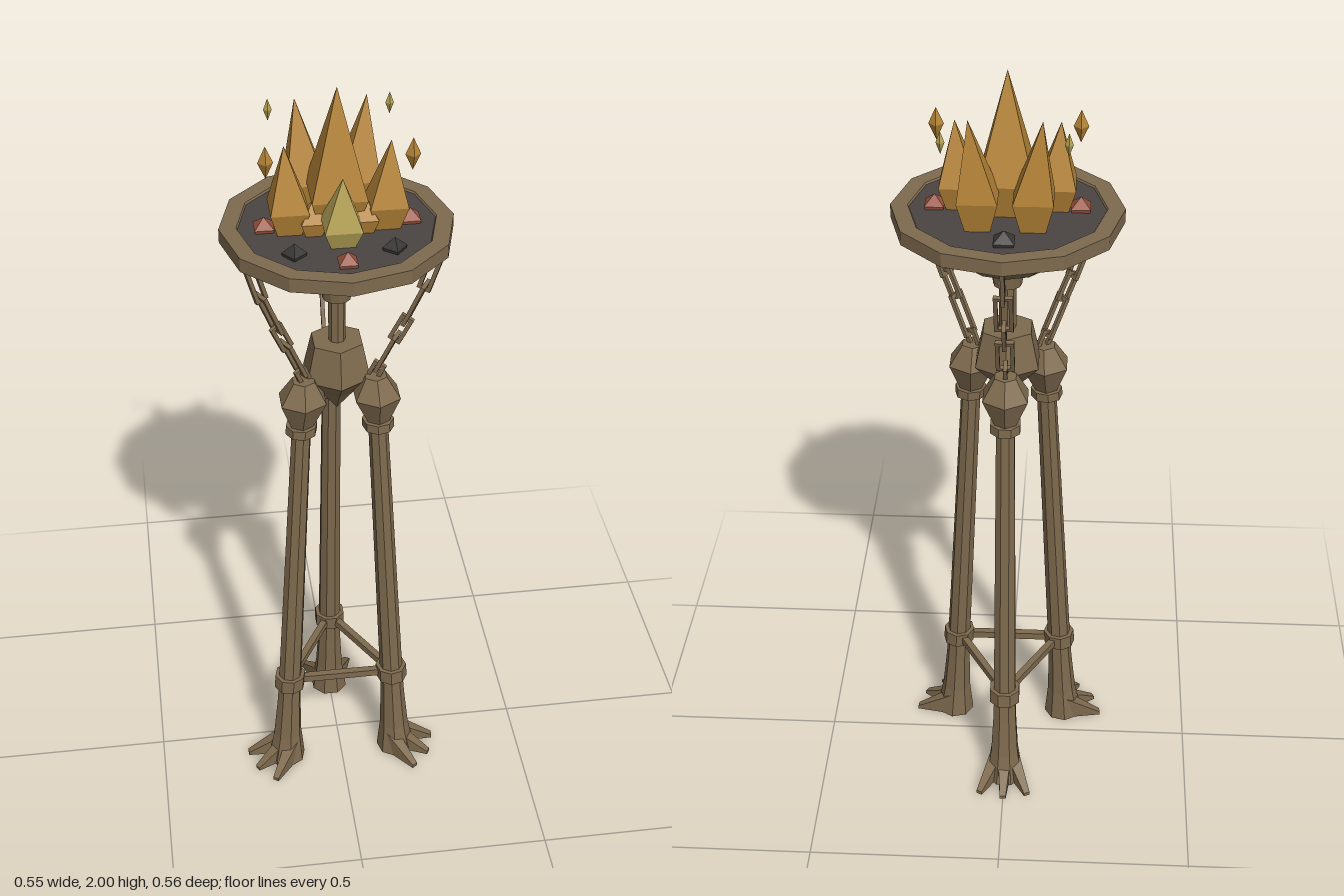
import * as THREE from 'three';

const flat = (name, color) => new THREE.MeshStandardMaterial({ name, color, flatShading: true });

export function createModel() {
  const bronze = flat('bronze', 0x7e6a4e);
  const ashBed = flat('ash bed', 0x4a4543);
  const coal = flat('coal', 0x3a3836);
  const ember = flat('ember', 0x97503a);
  const flame = flat('flame', 0xb58437);
  const paleFlame = flat('pale flame', 0xb6a356);

  const model = new THREE.Group();
  model.name = 'brazier';

  const add = (parent, name, geometry, material, x = 0, y = 0, z = 0) => {
    const mesh = new THREE.Mesh(geometry, material);
    mesh.name = name;
    mesh.position.set(x, y, z);
    parent.add(mesh);
    return mesh;
  };
  // Profile points are [radius, height], listed from bottom to top
  const lathe = (points, sides, start = 0) =>
    new THREE.LatheGeometry(points.map(p => new THREE.Vector2(...p)), sides, start);
  const bend = (geometry, rule) => {
    const p = geometry.attributes.position;
    const v = new THREE.Vector3();
    for (let i = 0; i < p.count; i++) {
      rule(v.fromBufferAttribute(p, i));
      p.setXYZ(i, v.x, v.y, v.z);
    }
    geometry.computeVertexNormals();
    return geometry;
  };

  // Bowl with a raised rim, and the stem and hub below it
  add(model, 'bowl', lathe([
    [0, 1.455], [0.035, 1.455], [0.04, 1.49], [0.11, 1.525], [0.235, 1.625], [0.277, 1.625],
    [0.277, 1.66], [0.236, 1.66], [0.225, 1.64]], 12), bronze);
  add(model, 'ashBed', new THREE.CylinderGeometry(0.235, 0.225, 0.02, 12), ashBed, 0, 1.645, 0);
  add(model, 'stem', new THREE.CylinderGeometry(0.021, 0.021, 0.15, 8), bronze, 0, 1.395, 0);
  add(model, 'hub', lathe([[0, 1.13], [0.045, 1.19], [0.09, 1.24], [0.068, 1.335], [0, 1.335]], 6), bronze);

  // One leg with collars, capital and flared ankle, leaning inwards
  const axis = y => 0.18 - 0.0616 * y;
  const lean = v => { v.z += axis(v.y); };
  const legGeometry = bend(lathe([
    [0, 0], [0.052, 0], [0.039, 0.09], [0.033, 0.2], [0.031, 0.265], [0.031, 0.3],
    [0.025, 1.1], [0.025, 1.14]], 8, Math.PI / 8), lean);
  const collar = (y, r, h) => bend(lathe([[0.02, y - h / 2], [r, y - h / 2], [r, y + h / 2], [0.02, y + h / 2]],
    8, Math.PI / 8), lean);
  const capital = bend(lathe([[0.028, 1.12], [0.064, 1.2], [0.03, 1.255], [0, 1.255]], 6), lean);
  const toe = bend(new THREE.BoxGeometry(0.036, 0.07, 0.1), v => {
    if (v.z > 0) { v.x *= 0.45; if (v.y > 0) v.y = -0.025; }
    v.y += 0.035;
    v.z += 0.05;
  });

  // Rectangular chain link standing along y
  const addLink = (parent, length, width) => {
    const link = new THREE.Group();
    link.name = 'chainLink';
    const t = 0.01;
    for (const s of [-1, 1]) {
      add(link, 'linkSide', new THREE.BoxGeometry(t, length, t), bronze, s * (width - t) / 2, 0, 0);
      add(link, 'linkEnd', new THREE.BoxGeometry(width, t, t), bronze, 0, s * (length - t) / 2, 0);
    }
    parent.add(link);
    return link;
  };
  const chainPath = [[0.25, 1.625], [0.222, 1.535], [0.18, 1.435], [0.152, 1.375], [0.112, 1.285], [0.09, 1.235]];

  for (const turn of [Math.PI / 3, Math.PI, 5 * Math.PI / 3]) {
    const side = new THREE.Group();
    side.name = 'legAssembly';
    side.rotation.y = turn;
    model.add(side);
    add(side, 'leg', legGeometry, bronze);
    add(side, 'lowerCollar', collar(0.283, 0.042, 0.04), bronze);
    add(side, 'upperCollar', collar(1.115, 0.04, 0.024), bronze);
    add(side, 'capital', capital, bronze);

    // Three splayed toes
    for (const s of [-1, 0, 1]) {
      const claw = add(side, 'toe', toe, bronze, s * 0.022, 0, s ? 0.175 : 0.18);
      claw.rotation.y = s * 0.45;
    }

    // Brace between the two other legs
    add(side, 'crossBar', new THREE.BoxGeometry(0.28, 0.02, 0.018), bronze, 0, 0.283, -axis(0.283) / 2);

    // Chain from rim to hub, every other link turned
    for (let i = 0; i < chainPath.length - 1; i++) {
      const [z0, y0] = chainPath[i], [z1, y1] = chainPath[i + 1];
      const link = addLink(side, Math.hypot(z1 - z0, y1 - y0) + 0.016, i % 2 ? 0.046 : 0.034);
      link.position.set(0, (y0 + y1) / 2, (z0 + z1) / 2);
      link.rotation.set(Math.atan2(z0 - z1, y0 - y1), i % 2 ? 0 : Math.PI / 2, 0);
    }
  }

  // Four-sided flames: narrow foot, wide waist, leaning tip
  const addFlame = (name, material, x, z, half, waist, tip, dx = 0, dz = 0) => {
    const w = half * Math.SQRT2;
    const geometry = bend(lathe([[w * 0.6, 1.65], [w, waist], [0.0001, tip]], 4, Math.PI / 4), v => {
      if (v.y > waist + 0.01) { v.x += dx; v.z += dz; }
    });
    add(model, name, geometry, material, x, 0, z);
  };
  addFlame('mainFlame', flame, 0, -0.005, 0.065, 1.74, 2.0, 0, 0.005);
  addFlame('frontFlame', paleFlame, 0, 0.087, 0.044, 1.7, 1.825, 0, 0.015);
  for (const s of [-1, 1]) {
    addFlame('sideFlame', flame, s * 0.115, 0.015, 0.045, 1.715, 1.87, s * 0.008, 0);
    addFlame('backFlame', flame, s * 0.064, -0.093, 0.047, 1.73, 1.925, s * 0.02, -0.018);
    addFlame('smallFlame', flame, s * 0.06, 0.035, 0.03, 1.69, 1.74, 0, 0);

    // Floating sparks
    const spark = (m, x, y, z, r, h) =>
      add(model, 'spark', lathe([[0.0001, -h / 2], [r, 0], [0.0001, h / 2]], 4), m, s * x, y, z);
    spark(flame, 0.168, 1.847, 0.045, 0.018, 0.08);
    spark(paleFlame, 0.143, 1.885, -0.143, 0.01, 0.055);
  }

  // Coals and embers lying on the ash
  const addLump = (name, material, x, z, r, spin) => {
    const lump = add(model, name, lathe([[r * 0.8, -0.01], [r, 0.008], [0.0001, 0.032]], 4), material, x, 1.655, z);
    lump.rotation.y = spin;
  };
  const square = Math.PI / 4;
  addLump('backCoal', coal, 0, -0.175, 0.035, square);
  addLump('frontEmber', ember, 0, 0.187, 0.031, square);
  for (const s of [-1, 1]) {
    addLump('coal', coal, s * 0.115, 0.135, 0.03, s * 0.1);
    addLump('ember', ember, s * 0.172, 0.005, 0.033, square);
  }
  return model;
}
